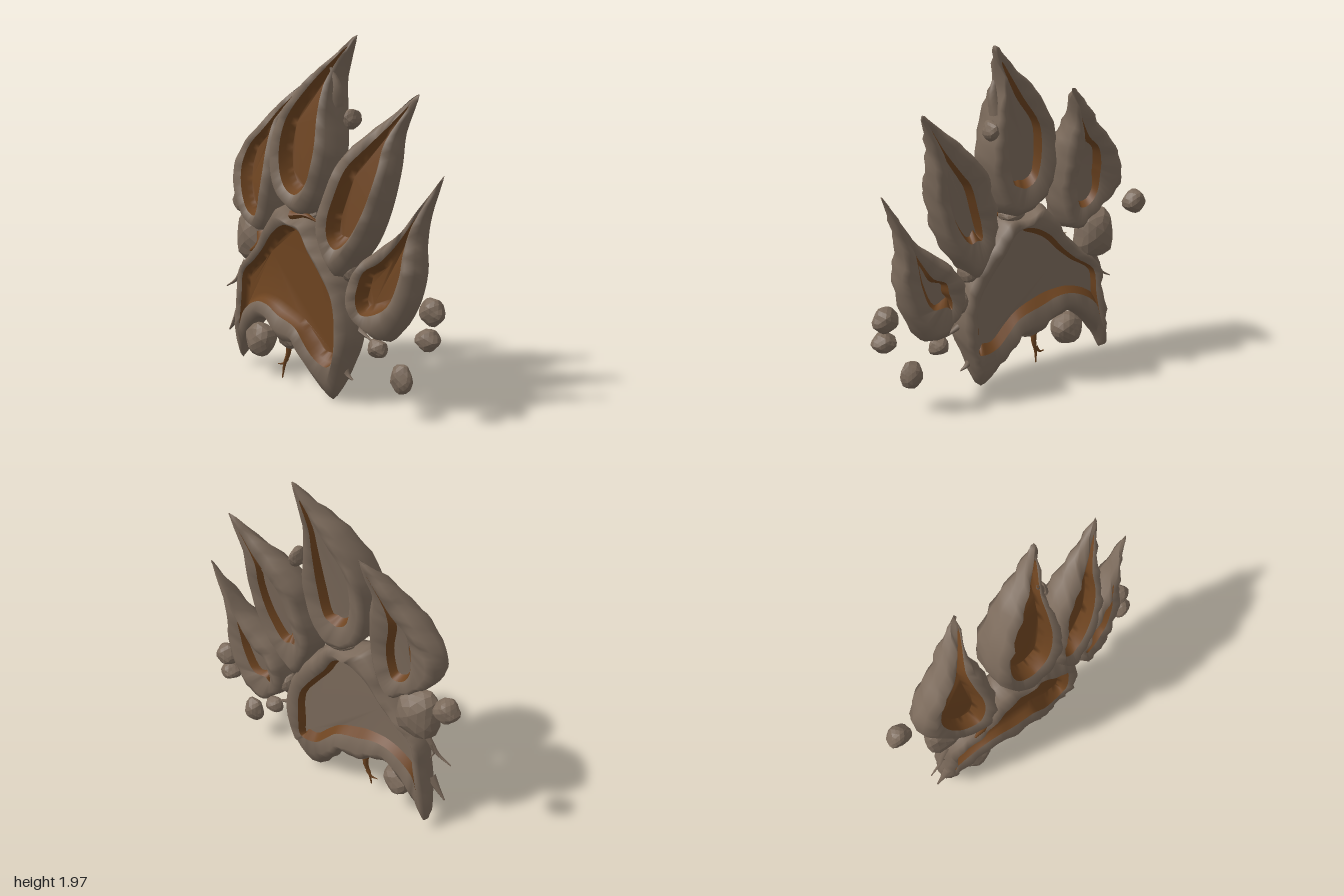
import * as THREE from 'three';

const stone = new THREE.MeshStandardMaterial({ color: 0x7b6a5b });
stone.name = 'stone grey';
const earth = new THREE.MeshStandardMaterial({ color: 0x6e4420 });
earth.name = 'earth brown';

// Clockwise outlines, each row: outer x, outer y, inner x, inner y
const PAD = [
  [-.67, .06, -.62, .27], [-.68, .22, -.61, .34], [-.64, .45, -.585, .47], [-.6, .65, -.56, .62],
  [-.47, .77, -.43, .72], [-.37, .87, -.34, .8], [-.3, .98, -.25, .9], [-.22, 1.06, -.15, .96],
  [-.08, 1.01, -.07, .96], [.03, 1.02, -.01, .94], [.11, .92, .05, .85], [.22, .8, .15, .73],
  [.29, .66, .23, .6], [.34, .45, .25, .4], [.28, .25, .23, .26], [.17, .02, .18, .22],
  [.05, .12, .1, .25], [-.02, .2, .02, .33], [-.07, .28, -.05, .4], [-.2, .27, -.2, .44],
  [-.3, .36, -.3, .48], [-.42, .36, -.4, .48], [-.52, .28, -.51, .43], [-.6, .18, -.585, .36],
];
const TOE1 = [
  [-.28, 1.74, -.3, 1.69], [-.33, 1.55, -.38, 1.5], [-.29, 1.4, -.38, 1.38], [-.28, 1.2, -.36, 1.2],
  [-.31, 1, -.38, 1.05], [-.38, .89, -.42, .98], [-.5, .92, -.5, 1], [-.6, 1, -.56, 1.07],
  [-.71, 1.12, -.6, 1.18], [-.71, 1.27, -.6, 1.27], [-.62, 1.4, -.55, 1.38], [-.5, 1.53, -.46, 1.47],
  [-.4, 1.64, -.37, 1.6],
];
const TOE2 = [
  [.17, 1.99, .14, 1.93], [.11, 1.78, .09, 1.76], [.13, 1.6, .09, 1.6], [.17, 1.4, .09, 1.4],
  [.13, 1.2, .05, 1.22], [.06, 1.06, 0, 1.16], [-.02, 1.02, -.05, 1.14], [-.12, 1.05, -.12, 1.17],
  [-.22, 1.15, -.17, 1.25], [-.27, 1.35, -.19, 1.4], [-.23, 1.55, -.16, 1.55], [-.1, 1.75, -.04, 1.72],
  [.03, 1.86, .06, 1.84],
];
const TOE3 = [
  [.6, 1.69, .56, 1.63], [.54, 1.5, .48, 1.45], [.53, 1.33, .47, 1.3], [.49, 1.12, .43, 1.12],
  [.43, .95, .36, .97], [.33, .8, .3, .9], [.24, .71, .25, .88], [.15, .87, .2, .93],
  [.1, 1, .19, 1.03], [.14, 1.18, .22, 1.15], [.19, 1.34, .27, 1.3], [.35, 1.5, .36, 1.4],
  [.48, 1.6, .47, 1.52],
];
const TOE4 = [
  [.81, 1.3, .78, 1.25], [.74, 1.1, .68, 1.05], [.72, .95, .65, .9], [.73, .8, .64, .78],
  [.68, .6, .58, .62], [.55, .42, .48, .56], [.42, .47, .42, .56], [.33, .56, .39, .62],
  [.32, .7, .4, .7], [.38, .82, .43, .78], [.5, .92, .52, .84], [.62, 1.02, .6, .93],
  [.72, 1.17, .69, 1.08],
];

const wobble = (a, b) => Math.sin(a * 37 + b * 19) * .6 + Math.sin(a * 23 - b * 53 + 1) * .4;

function mesh(name, geometry, material) {
  const m = new THREE.Mesh(geometry, material);
  m.name = name;
  return m;
}

// Skins a list of closed rings; fill = +1 / -1 caps the last ring facing front / back
function skin(rings, fill = 0) {
  const n = rings[0].length, index = [];
  for (let k = 0; k + 1 < rings.length; k++) {
    for (let i = 0; i < n; i++) {
      const j = (i + 1) % n, a = k * n, b = a + n;
      index.push(a + i, b + i, a + j, a + j, b + i, b + j);
    }
  }
  if (fill) {
    const last = rings[rings.length - 1], base = (rings.length - 1) * n;
    const flat = last.map(p => new THREE.Vector2(p.x, p.y));
    for (const [a, b, c] of THREE.ShapeUtils.triangulateShape(flat, [])) {
      const area = THREE.ShapeUtils.area([flat[a], flat[b], flat[c]]);
      if (area * fill > 0) index.push(base + a, base + b, base + c);
      else index.push(base + a, base + c, base + b);
    }
  }
  const g = new THREE.BufferGeometry().setFromPoints(rings.flat());
  g.setIndex(index);
  g.computeVertexNormals();
  return g;
}

// One hollow pad: rounded stone rim around a sunken earth floor
function hollow(name, rows, tipZ, backInset) {
  const curve = c => new THREE.CatmullRomCurve3(
    rows.map(r => new THREE.Vector3(r[c], r[c + 1], 0)), true, 'centripetal');
  const outer = curve(0), inner = curve(2), n = rows.length * 4;
  const ys = rows.map(r => r[1]), low = Math.min(...ys), high = Math.max(...ys);
  const ring = (s, level) => Array.from({ length: n }, (_, i) => {
    const o = outer.getPoint(i / n), p = inner.getPoint(i / n).lerp(o, s);
    let z = .045 - .12 * p.x * p.x, h = .14 - .1 * p.x * p.x;
    if (tipZ !== null) {
      const q = THREE.MathUtils.clamp((p.y - low) / (high - low), 0, 1);
      z += (tipZ - z) * q ** 2.4;
      h *= 1 - q ** 3.5;
    } else {
      z += .01;
      h *= .85 * Math.sqrt(THREE.MathUtils.clamp(p.y / .3, .03, 1));
    }
    const rough = s > 0 ? wobble(o.x + level * .1, o.y) * .009 : 0;
    return new THREE.Vector3(p.x + rough, p.y + rough * .6, z + level * h + rough);
  });
  const group = new THREE.Group();
  group.name = name;
  const back = ring(backInset, -.75), front = ring(0, .72);
  const rim = [back, ring(.4, -1), ring(.8, -.75), ring(1, 0), ring(.85, .6), ring(.45, 1), front];
  group.add(mesh('rim', skin(rim), stone));
  group.add(mesh('floor', skin([front, ring(-.12, .4), ring(-.35, .12)], 1), earth));
  // Underside: a narrow earth band around a stone base
  const inset = ring(backInset - .3, -.4);
  group.add(mesh('undersideBand', skin([inset, back]), earth));
  group.add(mesh('undersideBase', skin([inset], -1), stone));
  return group;
}

// Rounded irregular rock
function rock(name, [x, y, z], [sx, sy, sz]) {
  const g = new THREE.IcosahedronGeometry(1, 2), p = g.attributes.position, v = new THREE.Vector3();
  for (let i = 0; i < p.count; i++) {
    v.fromBufferAttribute(p, i);
    const r = 1 + .1 * Math.sin(v.x * 4 + x * 9) * Math.cos(v.y * 4 + y * 7) + .05 * Math.sin(v.z * 5 + x);
    p.setXYZ(i, v.x * r * sx + x, v.y * r * sy + y, v.z * r * sz + z);
  }
  g.computeVertexNormals();
  return mesh(name, g, stone);
}

// Tapered root following a path
function root(name, path, radius, material) {
  const curve = new THREE.CatmullRomCurve3(path.map(p => new THREE.Vector3(...p)));
  const segs = 8, sides = 6, g = new THREE.TubeGeometry(curve, segs, radius, sides);
  const p = g.attributes.position, v = new THREE.Vector3();
  for (let i = 0; i < p.count; i++) {
    const t = Math.floor(i / (sides + 1)) / segs, c = curve.getPointAt(t);
    v.fromBufferAttribute(p, i).sub(c).multiplyScalar(1 - .85 * t).add(c);
    p.setXYZ(i, v.x, v.y, v.z);
  }
  g.computeVertexNormals();
  return mesh(name, g, material);
}

export function createModel() {
  const model = new THREE.Group();
  model.name = 'pawPrint';

  model.add(hollow('mainPad', PAD, null, -.15));
  [[TOE1, -.18], [TOE2, -.12], [TOE3, -.13], [TOE4, -.08]].forEach(([rows, z], i) =>
    model.add(hollow('toe' + (i + 1), rows, z, -.45)));

  // Lumps joining the toes to the pad
  model.add(rock('sideLump', [-.57, .83, -.02], [.135, .16, .09]));
  model.add(rock('toeJoint', [-.03, 1.03, .03], [.08, .04, .06]));
  model.add(rock('toeJoint', [.25, .77, .02], [.07, .08, .07]));
  model.add(rock('toeJoint', [.33, .6, .0], [.05, .07, .05]));
  model.add(rock('archLump', [-.16, .33, .06], [.08, .09, .08]));

  // Loose rocks
  [
    [[-.79, 1.01, -.11], [.07, .07, .055]], [[.79, .62, -.03], [.07, .07, .06]],
    [[.79, .48, 0], [.065, .055, .065]], [[.63, .24, .01], [.065, .08, .05]],
    [[.46, .365, .01], [.06, .05, .05]], [[-.44, .23, .05], [.1, .1, .08]],
    [[.175, 1.55, -.08], [.035, .055, .06]],
  ].forEach(([at, size]) => model.add(rock('looseRock', at, size)));

  // Roots and splinters
  [
    [[[-.2, .3, .05], [-.2, .2, .05], [-.22, .14, .06], [-.23, .05, .07]], .022, earth],
    [[[-.21, .17, .05], [-.24, .13, .05], [-.28, .12, .06]], .014, earth],
    [[[-.4, .87, .06], [-.38, .82, .1], [-.46, .77, .11]], .04, earth],
    [[[-.1, 1.02, .11], [0, 1.03, .1], [.07, 1.0, .08]], .03, earth],
    [[[-.6, .68, .02], [-.65, .6, .03], [-.68, .55, .04], [-.76, .5, .05]], .022, stone],
    [[[-.64, .62, .02], [-.66, .56, .03], [-.64, .51, .03]], .014, stone],
    [[[-.64, .36, .05], [-.69, .29, .05], [-.74, .23, .05]], .03, stone],
    [[[.24, .22, .04], [.27, .18, .04], [.31, .16, .04]], .025, stone],
    [[[.3, .46, .02], [.36, .43, .02], [.43, .4, .02]], .022, stone],
    [[[.1, 1.62, -.03], [.12, 1.72, -.02], [.09, 1.82, .0]], .045, stone],
  ].forEach(([path, radius, material]) => model.add(root('root', path, radius, material)));

  return model;
}
